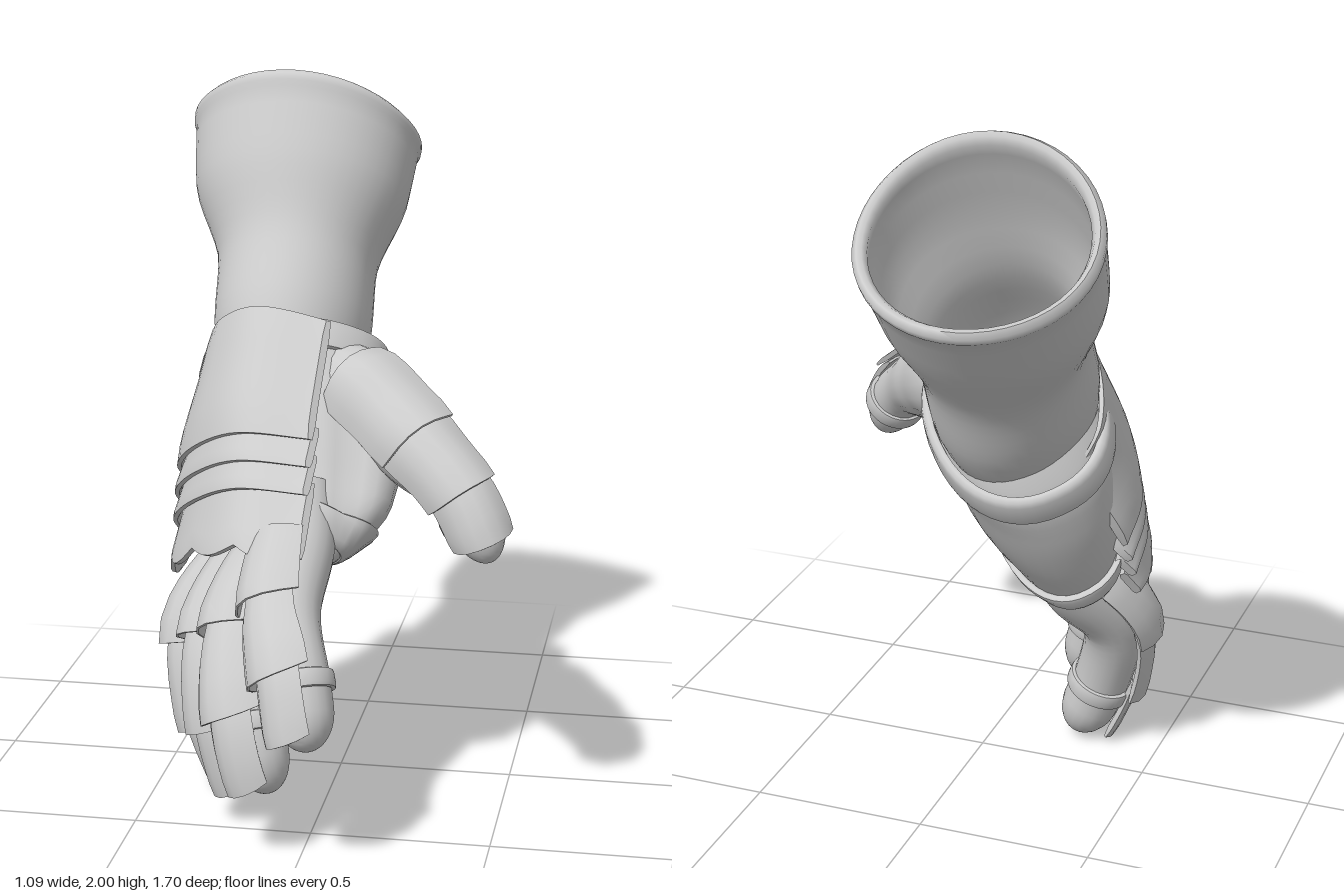
import * as THREE from 'three';
import { toCreasedNormals } from 'three/addons/utils/BufferGeometryUtils.js';

const V = (x, y, z) => new THREE.Vector3(x, y, z);
const TAU = Math.PI * 2;
const { lerp: mix, smoothstep } = THREE.MathUtils;
const material = new THREE.MeshStandardMaterial({ color: 0xcccccc, side: THREE.DoubleSide });

// Hand frame: wrist origin, direction to the fingers, across to the index side, out of the back
const O = V(-0.18, 1.18, -0.2);
const D = V(0, -0.8, 0.6), W = V(0.62, 0.47, 0.63), N = V(-0.786, 0.372, 0.496);
const hand = (t, a, b) => O.clone().addScaledVector(D, t).addScaledVector(W, a).addScaledVector(N, b);

// Skins a list of equal closed rings; ends are capped unless the list loops round
function loft(rings, loop = false, crease = 0.7) {
  const n = rings[0].length, m = rings.length, index = [];
  const quad = (a, b, c, d) => index.push(a, b, c, a, c, d);
  for (let i = 0; i < (loop ? m : m - 1); i++) {
    const p = i * n, q = ((i + 1) % m) * n;
    for (let j = 0; j < n; j++) quad(p + j, p + (j + 1) % n, q + (j + 1) % n, q + j);
  }
  if (!loop) for (let j = 0; j < n / 2 - 1; j++) {
    const e = (m - 1) * n;
    quad(j, n - 1 - j, n - 2 - j, j + 1);
    quad(e + j, e + j + 1, e + n - 2 - j, e + n - 1 - j);
  }
  // Turn the faces outward by the sign of the volume
  const pts = rings.flat();
  let volume = 0;
  for (let i = 0; i < index.length; i += 3) {
    const [a, b, c] = [0, 1, 2].map(k => pts[index[i + k]].clone().sub(pts[0]));
    volume += a.dot(b.cross(c));
  }
  if (volume < 0) index.reverse();
  const g = new THREE.BufferGeometry().setFromPoints(pts);
  g.setIndex(index);
  return toCreasedNormals(g, crease);
}

function add(parent, name, geometry) {
  const mesh = new THREE.Mesh(geometry, material);
  mesh.name = name;
  parent.add(mesh);
}

const ring = (n, f) => Array.from({ length: n }, (_, i) => f(i / n * TAU));
const steps = (n, f) => Array.from({ length: n + 1 }, (_, i) => f(i / n));

// Plate: point(s, q, h) gives length s, width q from -1 to 1 and height h over the skin
const plate = (point, thick, ns, nq) => loft(steps(ns, s => {
  const bevel = s === 0 || s === 1 ? 0.004 : 0;
  return [
    ...steps(nq, k => point(s, k * 2 - 1, thick - bevel)),
    ...steps(nq, k => point(s, 1 - k * 2, bevel))
  ];
}), false, 0.5);

// Strap: point(angle, along, height) swept round with a rounded flat section
const strap = (point, half, thick) => loft(ring(48, a => ring(10, k => {
  const c = Math.cos(k), s = Math.sin(k);
  return point(a, half * Math.sign(c) * Math.abs(c) ** 0.5, thick * Math.sign(s) * Math.abs(s) ** 0.6);
})), true, 0.9);

// Palm half-width, half-depth and depth offset at even steps from wrist to knuckles
const T0 = -0.08, T1 = 0.7;
const palmSizes = new THREE.CatmullRomCurve3([
  V(0.19, 0.15, -0.01), V(0.3, 0.225, -0.015), V(0.34, 0.225, -0.015), V(0.357, 0.215, -0.02),
  V(0.36, 0.185, -0.025), V(0.345, 0.14, -0.03), V(0.24, 0.03, -0.03)
], false, 'catmullrom');
function palmPoint(t, angle, off = 0) {
  const p = palmSizes.getPoint(THREE.MathUtils.clamp((t - T0) / (T1 - T0), 0, 1));
  const c = Math.cos(angle), s = Math.sin(angle);
  // Ball of the thumb swells the palm on the index side
  const ball = c > 0 && s < 0 ? 1 - 0.6 * c * s * smoothstep(t, 0.04, 0.32) * (1 - smoothstep(t, 0.48, 0.7)) : 1;
  const a = (p.x * ball + off) * Math.sign(c) * Math.abs(c) ** 0.9;
  return hand(t + 0.12 * a * smoothstep(t, 0.3, 0.7), a,
    p.z + (p.y * ball + off) * Math.sign(s) * Math.abs(s) ** 0.9);
}

// Finger: tube with a rounded tip, shingled plates over its back and a strap
function finger(name, points, radii, back, plates, strapAt) {
  const group = new THREE.Group();
  group.name = name;
  const curve = new THREE.CatmullRomCurve3(points);
  const radius = s => {
    const x = Math.min(s, 0.9999) * (radii.length - 1), i = Math.floor(x);
    return mix(radii[i], radii[i + 1], smoothstep(x - i, 0, 1));
  };
  const at = (s, angle, r, push = 0) => {
    const u = THREE.MathUtils.clamp(s, 0, 1), t = curve.getTangentAt(u);
    const n = back.clone().addScaledVector(t, -t.dot(back)).normalize();
    const b = t.clone().cross(n);
    return curve.getPointAt(u).addScaledVector(t, push)
      .addScaledVector(b, Math.cos(angle) * r).addScaledVector(n, Math.sin(angle) * r);
  };
  const tip = 0.86;
  add(group, name + 'Tube', loft(steps(36, k => {
    const s = k < 0.6 ? k / 0.6 * tip : tip + (1 - tip) * Math.sin((k - 0.6) / 0.4 * Math.PI / 2);
    const round = s > tip ? Math.sqrt(Math.max(0.0004, 1 - ((s - tip) / (1 - tip)) ** 2)) : 1;
    return ring(20, a => at(s, a, radius(s) * round));
  }), false, 1.2));
  plates.forEach(([s0, s1, arc, lift, flare], i) => add(group, `${name}Plate${i + 1}`, plate((s, q, h) => {
    const u = mix(s0, s1, s);
    const peak = 1 + 0.07 * Math.cos(q * Math.PI);
    return at(u, Math.PI / 2 + q * arc * mix(0.9, 1, s), (radius(u) + lift + flare * s) * peak + h,
      s * 0.025 * (1 - q * q));
  }, 0.015, 6, 7)));
  add(group, name + 'Strap', strap((a, x, h) => at(strapAt, a, radius(strapAt) + 0.003 + h, x), 0.026, 0.01));
  return group;
}

export function createModel() {
  const model = new THREE.Group();
  model.name = 'armouredGlove';

  // Hollow flared cuff: centre, sideways half-width, front half-depth and skew per section
  const cuff = new THREE.Group();
  cuff.name = 'cuff';
  const centres = new THREE.CatmullRomCurve3([
    V(-0.18, 0.98, -0.05), V(-0.185, 1.25, -0.24), V(-0.19, 1.41, -0.34), V(-0.2, 1.6, -0.46), V(-0.2, 1.805, -0.587)]);
  const sizes = new THREE.CatmullRomCurve3([
    V(0.16, 0.2, 0), V(0.23, 0.265, 0), V(0.235, 0.255, 0.01), V(0.318, 0.295, 0.03), V(0.345, 0.325, 0.05)]);
  const cuffRing = (k, off) => {
    const c = centres.getPoint(k), r = sizes.getPoint(k);
    return ring(48, a => {
      const x = Math.cos(a), s = Math.sin(a), dip = k ** 4 * (0.035 * x + 0.025 * x * x);
      return c.clone().add(V(x * (r.x + off) + s * r.z,
        s * (r.y + off) * 0.58 - dip, s * (r.y + off) * 0.81 + dip * 0.6));
    });
  };
  const lip = [[0.965, 0.006], [0.985, 0.005], [1, -0.01], [0.995, -0.024], [0.975, -0.034]];
  add(cuff, 'cuffShell', loft([
    ...steps(20, k => cuffRing(k * 0.95, 0)), ...lip.map(([k, o]) => cuffRing(k, o)),
    ...steps(14, k => cuffRing(mix(0.94, 0.03, k), -0.028))], false, 1.1));
  model.add(cuff);

  // Palm and its two straps
  add(model, 'palm', loft(steps(26, k => ring(40, a => palmPoint(mix(T0, T1, k), a))), false, 1.2));
  add(model, 'wristStrap', strap((a, x, h) => palmPoint(0.045 + x * 0.3, a, 0.012 + h)
    .addScaledVector(D, x * 0.7), 0.046, 0.015));
  add(model, 'palmStrap', strap((a, x, h) => palmPoint(
    0.54 + 0.045 * Math.cos(a) - 0.04 * Math.sin(a) + x, a, 0.008 + h), 0.04, 0.014));

  // Back of the hand: one large plate and three shingled bands
  const backPlates = new THREE.Group();
  backPlates.name = 'backOfHandPlates';
  const profile = new THREE.CatmullRomCurve3([
    V(-0.34, 0.08, 0), V(-0.22, 0.18, 0), V(0, 0.235, 0), V(0.22, 0.215, 0), V(0.37, 0.07, 0)]);
  [[-0.03, 0.36], [0.29, 0.44], [0.37, 0.52], [0.45, 0.66]].forEach(([t0, t1], i) => {
    add(backPlates, `backPlate${i + 1}`, plate((s, q, h) => {
      const p = profile.getPoint((q + 1) / 2);
      const t = mix(t0, t1, s);
      const bend = (0.06 - 0.05 * s) * q * q + 0.03 * q * s;
      const sink = 1 - 0.42 * Math.max(0, t - 0.25);
      // Narrower towards the wrist on the little-finger side
      const narrow = q < 0 ? 1 + 0.22 * q * (1 - smoothstep(t, 0, 0.42)) : 1;
      const scallop = i === 3 ? s * (0.03 * Math.abs(Math.sin((q + 1) * TAU)) + 0.04 * q) : 0;
      return hand(t + bend + scallop, p.x * narrow * mix(0.95, 1.02, s),
        p.y * narrow * sink - 0.004 + 0.032 * s + h);
    }, 0.022, 8, 24));
  });
  model.add(backPlates);

  // Four fingers: knuckle, middle joint, strap and tip
  const shingles = [[0.22, 0.49, 1.25, 0.014, 0.03], [0.44, 0.74, 1.25, 0.01, 0.032], [0.69, 0.94, 1.15, 0.01, 0.006]];
  [
    ['indexFinger', V(-0.05, 0.81, 0.37), V(-0.045, 0.64, 0.57), V(0.003, 0.52, 0.69), V(0.045, 0.345, 0.765)],
    ['middleFinger', V(-0.12, 0.73, 0.26), V(-0.175, 0.55, 0.47), V(-0.14, 0.35, 0.605), V(-0.085, 0.165, 0.64)],
    ['ringFinger', V(-0.2, 0.67, 0.12), V(-0.27, 0.48, 0.31), V(-0.24, 0.29, 0.39), V(-0.175, 0.065, 0.41)],
    ['littleFinger', V(-0.285, 0.595, -0.03), V(-0.37, 0.42, 0.09), V(-0.33, 0.22, 0.15), V(-0.24, 0.005, 0.17)]
  ].forEach(([name, knuckle, ...rest]) => model.add(finger(name,
    [knuckle.clone().addScaledVector(D, -0.15), knuckle, ...rest],
    [0.085, 0.1, 0.087, 0.085, 0.082], N, shingles, 0.77)));

  // Thumb, growing out of the ball of the palm
  model.add(finger('thumb',
    [V(-0.06, 1.2, -0.03), V(0.12, 1.11, 0.1), V(0.28, 1.02, 0.26), V(0.4, 0.93, 0.36), V(0.485, 0.785, 0.42)],
    [0.1, 0.138, 0.115, 0.083, 0.072], V(-0.1, 0.68, 0.72),
    [[0.19, 0.57, 0.95, 0.02, 0.02], [0.52, 0.78, 1.15, 0.014, 0.016], [0.73, 0.93, 1.2, 0.01, 0.004]], 0.84));

  return model;
}
